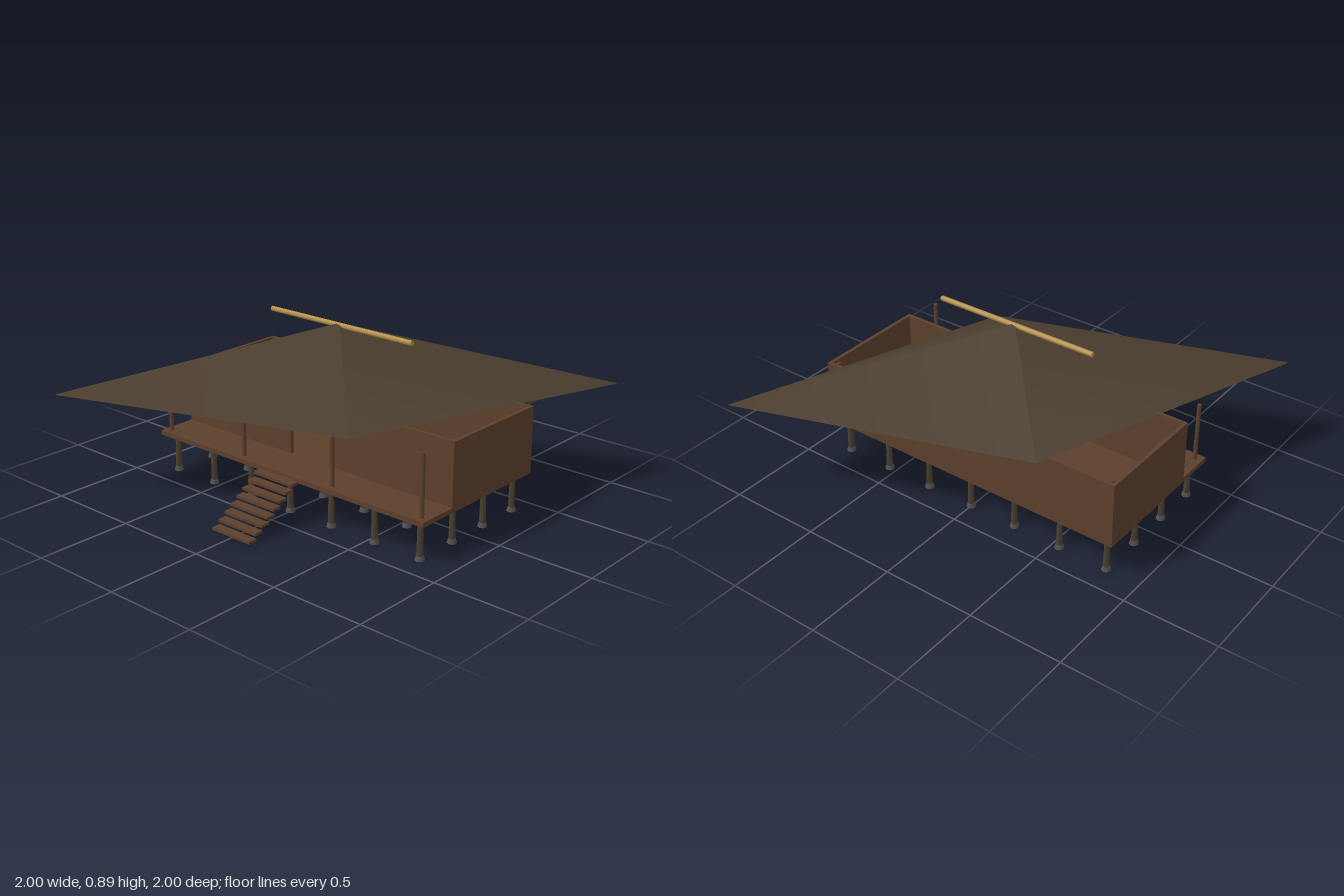
import * as THREE from 'three';

const mat = (name, color) => {
  const m = new THREE.MeshStandardMaterial({ color });
  m.name = name;
  return m;
};

export function createModel() {
  const wood = mat('brown wood', 0x5c3f2c);
  const stiltWood = mat('dark stilt wood', 0x4a3f2f);
  const thatch = mat('thatch', 0x4a3d2e);
  const bamboo = mat('bamboo', 0xb08d45);
  const stone = mat('grey stone', 0x505050);

  const model = new THREE.Group();
  model.name = 'stiltHouse';

  const add = (name, geometry, material, x, y, z, parent = model) => {
    const mesh = new THREE.Mesh(geometry, material);
    mesh.name = name;
    mesh.position.set(x, y, z);
    parent.add(mesh);
    return mesh;
  };
  // Box given by its min and max on each axis
  const box = (name, material, x0, x1, y0, y1, z0, z1) =>
    add(name, new THREE.BoxGeometry(x1 - x0, y1 - y0, z1 - z0), material,
      (x0 + x1) / 2, (y0 + y1) / 2, (z0 + z1) / 2);

  // Stilts on stone footings, seven by four
  const stiltGeo = new THREE.CylinderGeometry(0.013, 0.017, 0.19, 8);
  const footGeo = new THREE.CylinderGeometry(0.019, 0.025, 0.022, 8);
  for (let i = -3; i <= 3; i++) {
    for (let j = 0; j < 4; j++) {
      const x = i * 0.271, z = 0.365 - j * 0.243;
      add('stilt', stiltGeo, stiltWood, x, 0.11, z);
      add('footing', footGeo, stone, x, 0.016, z);
    }
  }

  // Floor deck
  box('floor', wood, -0.875, 0.875, 0.205, 0.23, -0.425, 0.425);

  // Walls, open above, with a doorway in front
  box('backWall', wood, -0.875, 0.875, 0.23, 0.555, -0.425, -0.405);
  for (const s of [-1, 1]) {
    const a = s * 0.855, b = s * 0.875;
    box('sideWall', wood, Math.min(a, b), Math.max(a, b), 0.23, 0.555, -0.405, 0.21);
    const c = s * 0.14;
    box('frontWall', wood, Math.min(a, c), Math.max(a, c), 0.23, 0.555, 0.19, 0.21);
  }
  box('doorLintel', bamboo, -0.14, 0.14, 0.51, 0.55, 0.185, 0.215);

  // Veranda posts in front and corner posts indoors
  const postGeo = new THREE.CylinderGeometry(0.011, 0.011, 0.32, 8);
  for (const x of [-0.835, -0.295, 0.295, 0.835]) {
    add('verandaPost', postGeo, wood, x, 0.39, 0.385);
    if (Math.abs(x) > 0.5) add('cornerPost', postGeo, wood, x, 0.39, -0.385);
  }

  // Hearth and low platform inside
  add('hearth', new THREE.CylinderGeometry(0.045, 0.07, 0.02, 12), stone, 0, 0.24, -0.05);
  box('sleepingPlatform', wood, -0.55, -0.18, 0.23, 0.25, -0.36, -0.12);

  // Floating stair treads
  const treadGeo = new THREE.BoxGeometry(0.25, 0.014, 0.05);
  for (let i = 0; i < 8; i++) {
    add('stairTread', treadGeo, wood, 0, 0.017 + i * 0.0283, 0.753 - i * 0.0413);
  }

  // Four-sided roof stretched along one diagonal
  const roof = add('roof', new THREE.ConeGeometry(1, 0.345, 4), thatch, 0, 0.7225, 0);
  roof.scale.set(1.4142, 1, 0.688);
  roof.rotation.y = Math.PI / 4;

  // Ridge pole
  const ridge = add('ridgePole', new THREE.CylinderGeometry(0.014, 0.014, 0.915, 8), bamboo, 0, 0.883, 0);
  ridge.rotation.z = Math.PI / 2;

  return model;
}
